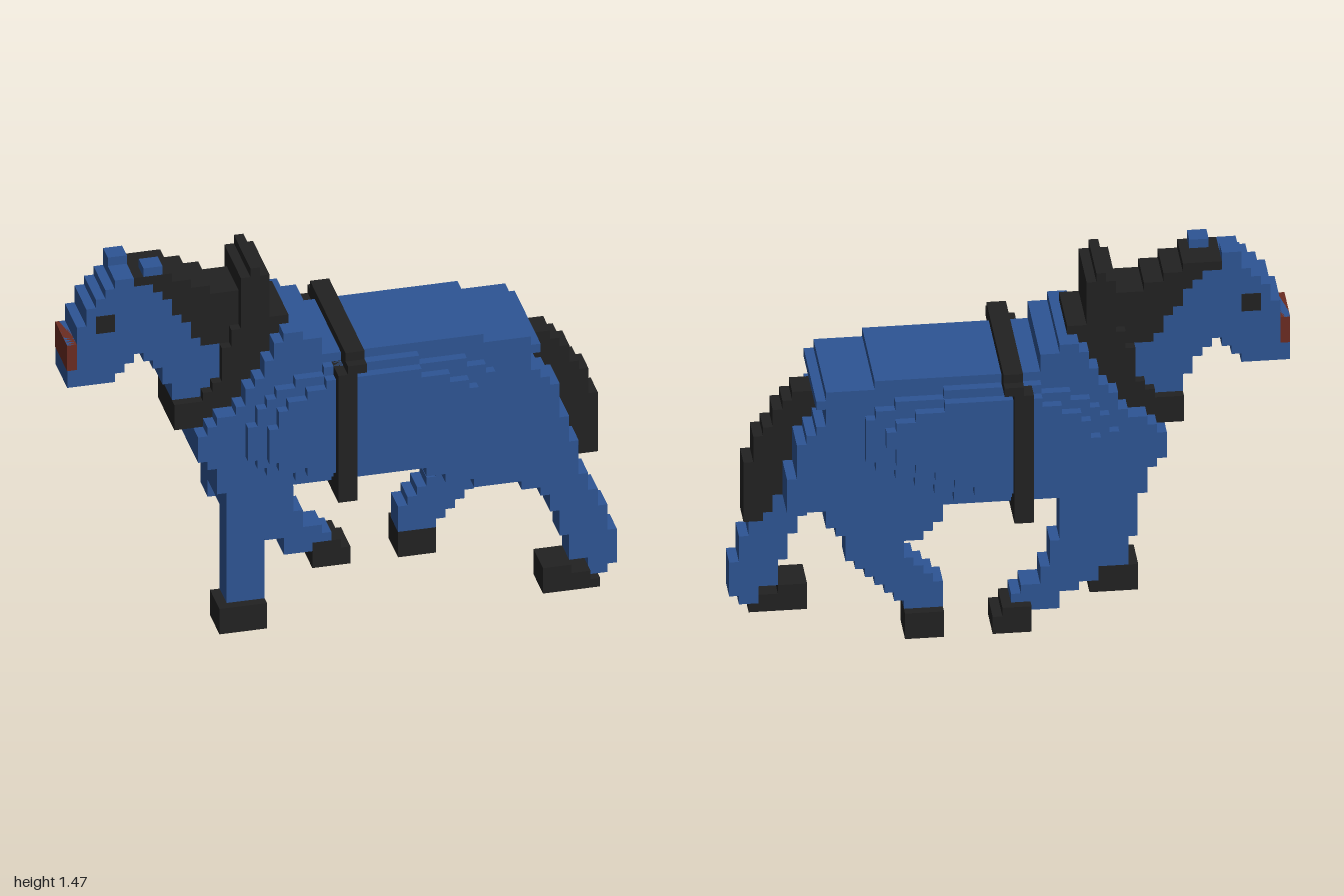
import * as THREE from 'three';

const U = 2 / 57; // edge of one cube of the grid
const MID = 28.5; // grid column at x = 0

// Stepped silhouette from rows [bottom, top, left, right], listed upwards, extruded from z0 to z1 (grid units)
function steps(rows, z0, z1) {
  const right = [], left = [];
  for (const [b, t, l, r] of rows) {
    right.push([r, b], [r, t]);
    left.push([l, b], [l, t]);
  }
  const pts = right.concat(left.reverse()).map(([x, y]) => new THREE.Vector2((x - MID) * U, y * U));
  const clean = pts.filter((p, i) => i === 0 || p.distanceTo(pts[i - 1]) > 1e-6);
  const geo = new THREE.ExtrudeGeometry(new THREE.Shape(clean), { depth: (z1 - z0) * U, bevelEnabled: false });
  return geo.translate(0, 0, z0 * U);
}

export function createModel() {
  const group = new THREE.Group();
  const material = (name, color) => {
    const m = new THREE.MeshStandardMaterial({ color });
    m.name = name;
    return m;
  };
  const blue = material('blue coat', 0x2e5594);
  const black = material('black', 0x222222);
  const red = material('red brown', 0x6b2c22);

  const part = (name, mat, z0, z1, rows) => {
    const mesh = new THREE.Mesh(steps(rows, z0, z1), mat);
    mesh.name = name;
    group.add(mesh);
  };

  // Head, jaw and neck
  part('head', blue, -2.5, 2.5, [
    [32, 33, 0, 14], [33, 34, 0, 13], [34, 35, 1, 13], [35, 36, 1, 12], [36, 38, 2, 11],
    [38, 39, 3, 10], [39, 40, 4, 9], [40, 41, 5, 7],
  ]);
  part('jaw', blue, -2.5, 2.5, [[29, 30, 0, 5], [30, 31, 0, 6], [31, 32, 0, 7]]);
  part('neck', blue, -2.5, 2.5, [
    [24, 26, 12, 15], [26, 28, 11, 17], [28, 30, 10, 18], [30, 31, 9, 18], [31, 32, 8, 18],
  ]);
  part('rightEar', blue, -2.5, -0.5, [[41, 42, 5, 7]]);
  part('leftEar', blue, 0.5, 2.5, [[41, 42, 8, 10]]);
  part('muzzle', red, -2.52, 2.52, [[31, 34, -0.02, 1]]);
  for (const s of [-1, 1]) {
    const z = s * 2.5;
    part('eye', black, Math.min(z, z + s * 0.1), Math.max(z, z + s * 0.1), [[35, 37, 3, 5]]);
  }

  // Mane and collar
  part('mane', black, -2.5, 2.5, [
    [32, 33, 14, 20], [33, 35, 13, 20], [35, 36, 12, 20], [36, 38, 11, 20],
    [38, 39, 10, 15], [39, 40, 9, 13], [40, 41, 7, 11],
  ]);
  part('collar', black, -3.5, 3.5, [
    [23, 24, 11, 14], [24, 25, 11, 15], [25, 26, 11, 17], [26, 27, 14, 18], [27, 28, 15, 19],
    [28, 30, 16, 20], [30, 32, 16, 21], [32, 34, 17, 22], [34, 35, 18, 23], [35, 40, 18, 21], [40, 41, 19, 20],
  ]);

  // Body with two raised layers on each flank
  part('body', blue, -5.5, 5.5, [
    [16, 19, 15, 52], [19, 20, 14, 52], [20, 22, 13, 51], [22, 23, 13, 51], [23, 24, 14, 51],
    [24, 25, 15, 50], [25, 26, 17, 49], [26, 28, 18, 48], [28, 29, 19, 49], [29, 30, 20, 48],
    [30, 31, 20, 43], [31, 33, 21, 26], [33, 34, 22, 24],
  ]);
  part('chestUnderside', blue, -2.5, 2.5, [[13, 16, 16, 23]]);
  part('outerFlank', blue, -6.5, 6.5, [
    [17, 18, 23, 35], [18, 19, 20, 37], [19, 20, 19, 39], [20, 21, 18, 41], [21, 22, 18, 43],
    [22, 24, 18, 44], [24, 25, 19, 44], [25, 26, 19, 44], [26, 27, 20, 44], [27, 28, 21, 43],
    [28, 29, 23, 41], [29, 30, 26, 36],
  ]);
  part('innerFlank', blue, -7.5, 7.5, [
    [18, 19, 24, 33], [19, 20, 21, 35], [20, 21, 20, 37], [21, 22, 20, 39], [22, 24, 20, 41],
    [24, 26, 21, 42], [26, 27, 22, 41], [27, 28, 24, 39], [28, 29, 26, 36],
  ]);

  // Girth strap
  part('strapSides', black, -8.5, 8.5, [[15, 30, 27, 29]]);
  part('strapShoulder', black, -8.5, 8.5, [[30, 31, 28, 30]]);
  part('strapTop', black, -7.5, 7.5, [[31, 32, 28, 30]]);

  // Tail
  part('tail', black, -1.5, 1.5, [
    [13, 14, 54, 56], [14, 16, 53, 56], [16, 20, 51, 56], [20, 22, 50, 55], [22, 23, 50, 55],
    [23, 24, 49, 54], [24, 26, 48, 53], [26, 27, 48, 52], [27, 28, 48, 51],
  ]);

  // Standing foreleg
  part('leftForeleg', blue, 2.5, 5.5, [[3, 9, 16, 20], [9, 10, 16, 20], [10, 11, 16, 22], [11, 16, 16, 23]]);
  part('leftForeHoof', black, 2.5, 6.5, [[0, 2, 15, 20], [2, 3, 15, 20]]);

  // Trailing foreleg
  part('rightForeleg', blue, -5.5, -2.5, [
    [3, 4, 24, 27], [4, 5, 24, 29], [5, 6, 22, 28], [6, 7, 20, 26], [7, 8, 20, 26],
    [8, 9, 20, 25], [9, 11, 18, 25], [11, 16, 16, 24],
  ]);
  part('rightForeHoof', black, -6.5, -2.5, [[1, 3, 27, 31], [3, 4, 27, 30]]);

  // Raised hind leg
  part('rightHindLeg', blue, -5.5, -2.5, [
    [4, 5, 36, 40], [5, 6, 36, 41], [6, 7, 36, 42], [7, 8, 37, 43], [8, 9, 38, 44], [9, 10, 39, 45],
    [10, 11, 40, 46], [11, 12, 40, 46], [12, 13, 38, 46], [13, 14, 37, 47], [14, 16, 36, 48],
  ]);
  part('rightHindHoof', black, -6.5, -2.5, [[1, 4, 36, 40]]);

  // Extended hind leg
  part('leftHindLeg', blue, 2.5, 5.5, [
    [1, 2, 54, 56], [2, 3, 54, 57], [3, 6, 52, 57], [6, 9, 51, 56], [9, 11, 50, 55], [11, 12, 49, 54],
    [12, 13, 47, 54], [13, 14, 42, 53], [14, 15, 39, 53], [15, 16, 37, 53], [16, 17, 37, 53],
  ]);
  part('leftHindHoof', black, 2.5, 6.5, [[0, 1, 49, 55], [1, 2, 49, 54], [2, 3, 49, 52]]);

  return group;
}
